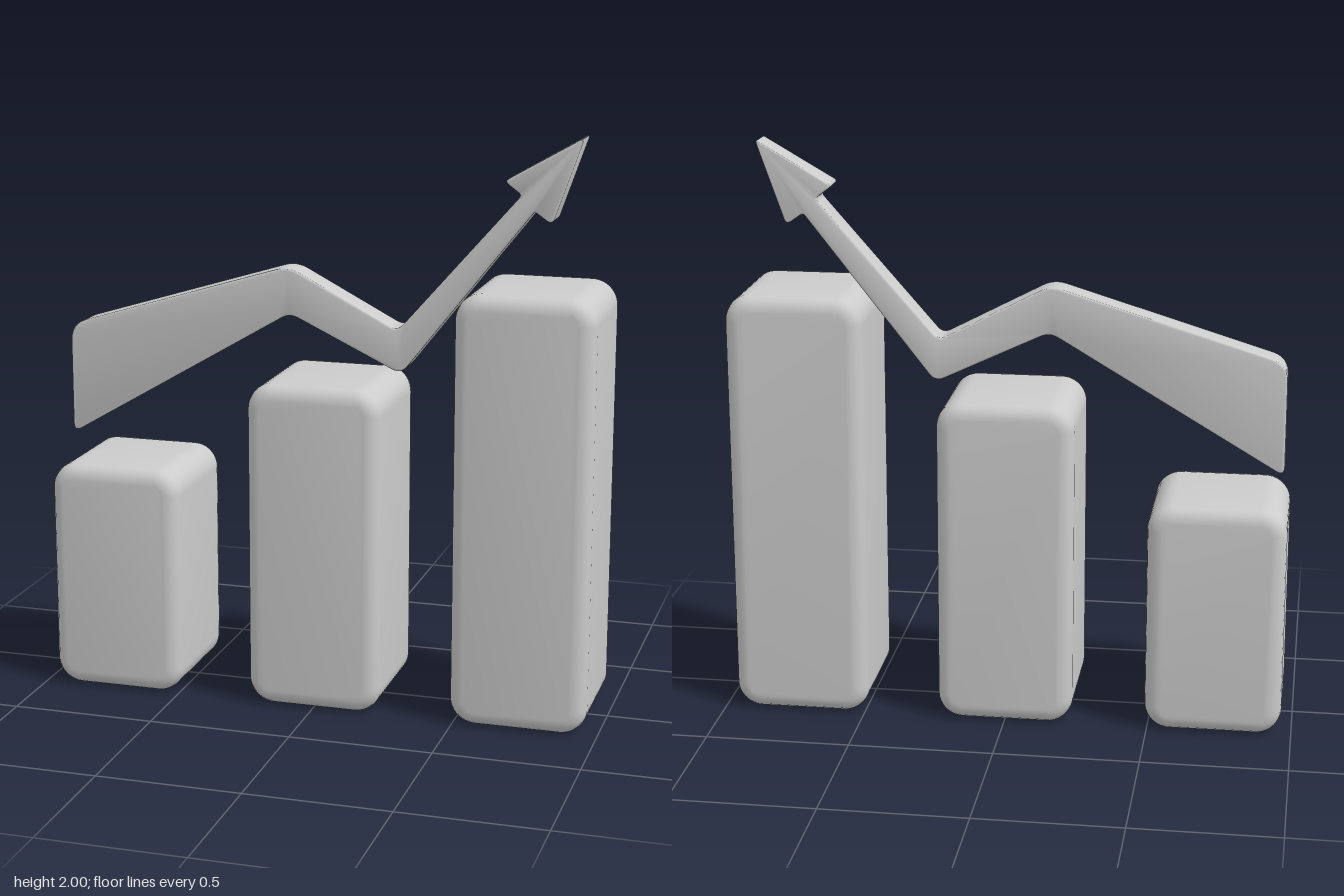
import * as THREE from 'three';
import { toCreasedNormals } from 'three/addons/utils/BufferGeometryUtils.js';

const material = new THREE.MeshStandardMaterial({ color: 0xcccccc, roughness: 0.6 });

// Closed outline whose corners [x, y, cut] are rounded, starting the curve "cut" away from the corner
function roundedOutline(corners) {
  const shape = new THREE.Shape();
  const n = corners.length;
  const towards = (from, to) => {
    const a = new THREE.Vector2(from[0], from[1]);
    const b = new THREE.Vector2(to[0], to[1]);
    return b.sub(a).setLength(from[2]).add(a);
  };
  corners.forEach((corner, i) => {
    const start = towards(corner, corners[(i + n - 1) % n]);
    const end = towards(corner, corners[(i + 1) % n]);
    if (i === 0) shape.moveTo(start.x, start.y);
    else shape.lineTo(start.x, start.y);
    shape.quadraticCurveTo(corner[0], corner[1], end.x, end.y);
  });
  shape.closePath();
  return shape;
}

// Bevelled solid centred on z = 0; the outline is its widest section
function solid(name, shape, depth, bevel, bevelSegments) {
  const geometry = new THREE.ExtrudeGeometry(shape, {
    depth: depth - 2 * bevel,
    bevelEnabled: true,
    bevelThickness: bevel,
    bevelSize: bevel,
    bevelOffset: -bevel,
    bevelSegments,
    curveSegments: 6,
  });
  geometry.translate(0, 0, bevel - depth / 2);
  const mesh = new THREE.Mesh(toCreasedNormals(geometry, 0.75), material);
  mesh.name = name;
  return mesh;
}

// Front outline of a bar with circular corners
function barOutline(x, width, height, r) {
  const x0 = x - width / 2, x1 = x + width / 2;
  const shape = new THREE.Shape();
  shape.absarc(x1 - r, r, r, -Math.PI / 2, 0);
  shape.absarc(x1 - r, height - r, r, 0, Math.PI / 2);
  shape.absarc(x0 + r, height - r, r, Math.PI / 2, Math.PI);
  shape.absarc(x0 + r, r, r, Math.PI, Math.PI * 1.5);
  shape.closePath();
  return shape;
}

export function createModel() {
  const model = new THREE.Group();
  model.name = 'growthChart';

  // Three rising bars
  const bars = [['shortBar', -0.727, 0.815], ['middleBar', 0, 1.15], ['tallBar', 0.724, 1.5]];
  for (const [name, x, height] of bars) {
    model.add(solid(name, barOutline(x, 0.475, height, 0.09), 0.475, 0.05, 4));
  }

  // Trend arrow, tapering from a broad tail to the head
  const arrow = roundedOutline([
    [-0.945, 0.887, 0.035],
    [-0.133, 1.367, 0.035],
    [0.264, 1.178, 0.035],
    [0.716, 1.757, 0.012],
    [0.776, 1.715, 0.022],
    [0.878, 2.008, 0.018],
    [0.612, 1.854, 0.018],
    [0.672, 1.81, 0.015],
    [0.251, 1.328, 0.03],
    [-0.137, 1.531, 0.045],
    [-0.945, 1.284, 0.06],
  ]);
  model.add(solid('trendArrow', arrow, 0.11, 0.006, 3));

  return model;
}
